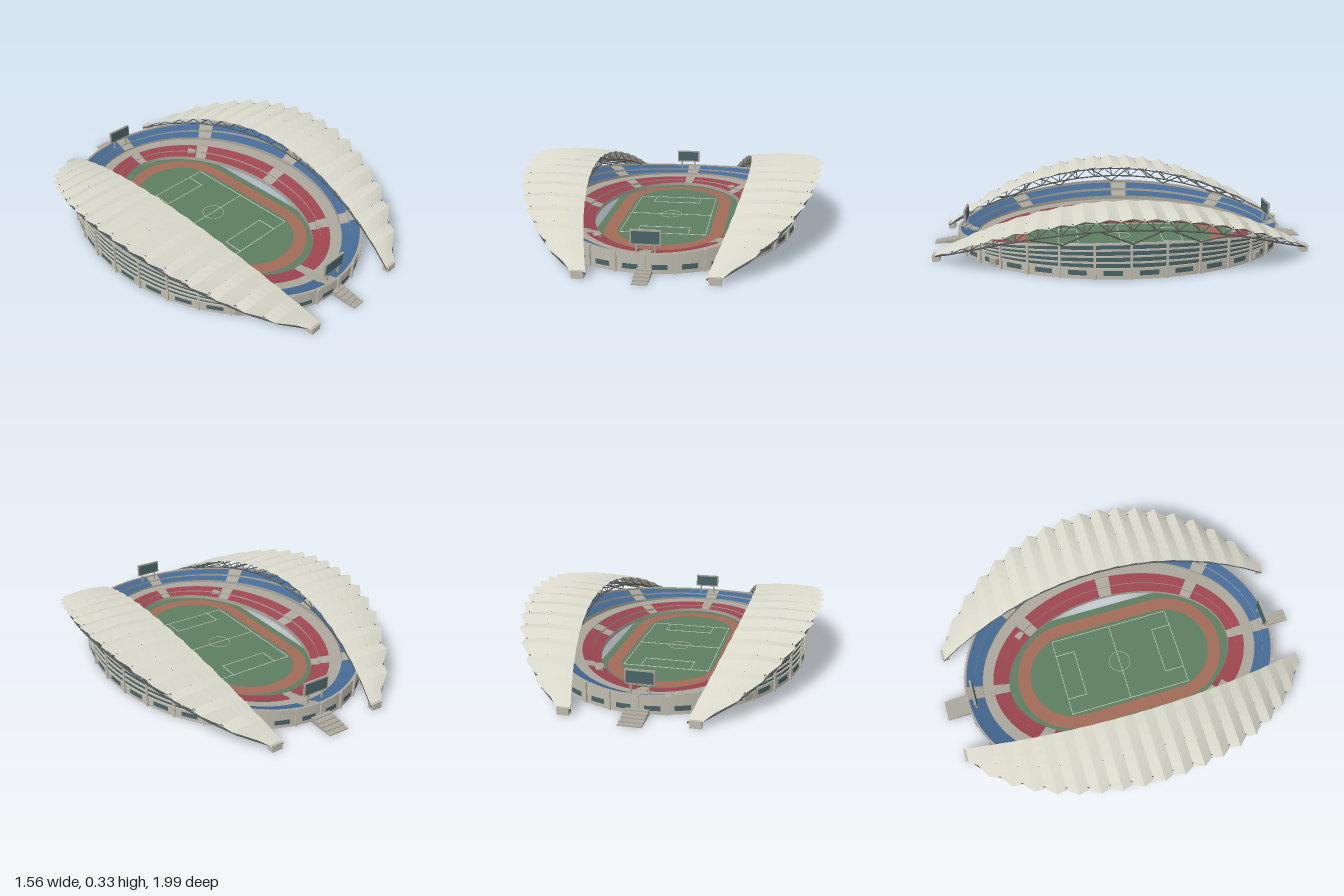
import * as THREE from 'three';
import { mergeGeometries } from 'three/addons/utils/BufferGeometryUtils.js';

const mat = (color, flatShading = false) =>
  new THREE.MeshStandardMaterial({ color, flatShading, side: THREE.DoubleSide });
const M = {
  concrete: mat(0xaaa69b), wall: mat(0xbfbcae), glass: mat(0x4a6468), red: mat(0x9c4550),
  blue: mat(0x456a94), grass: mat(0x5d7d60), track: mat(0xa26b58), line: mat(0xc4cfc0),
  roof: mat(0xd8d7ca, true), steel: mat(0x5c5e5c),
};
const V = (x, y, z) => new THREE.Vector3(x, y, z);
const rad = THREE.MathUtils.degToRad;

function add(parent, name, geos, material) {
  const geo = Array.isArray(geos) ? mergeGeometries(geos) : geos;
  const mesh = new THREE.Mesh(geo, material);
  mesh.name = name;
  parent.add(mesh);
  return mesh;
}

// Grid surface from a function f(u, v) -> Vector3
function sheet(f, nu, nv) {
  const pos = [], uv = [], idx = [];
  for (let i = 0; i <= nu; i++) for (let j = 0; j <= nv; j++) {
    pos.push(...f(i / nu, j / nv).toArray());
    uv.push(i / nu, j / nv);
    if (i < nu && j < nv) {
      const a = i * (nv + 1) + j, b = a + nv + 1;
      idx.push(a, a + 1, b, b, a + 1, b + 1);
    }
  }
  const g = new THREE.BufferGeometry();
  g.setAttribute('position', new THREE.Float32BufferAttribute(pos, 3));
  g.setAttribute('uv', new THREE.Float32BufferAttribute(uv, 2));
  g.setIndex(idx);
  g.computeVertexNormals();
  return g;
}
function box(x0, x1, y0, y1, z0, z1) {
  return new THREE.BoxGeometry(x1 - x0, y1 - y0, z1 - z0)
    .translate((x0 + x1) / 2, (y0 + y1) / 2, (z0 + z1) / 2);
}
function rod(a, b, r = 0.003) {
  const d = b.clone().sub(a);
  const q = new THREE.Quaternion().setFromUnitVectors(V(0, 1, 0), d.clone().normalize());
  return new THREE.CylinderGeometry(r, r, d.length(), 5).applyQuaternion(q)
    .translate(...a.clone().add(b).multiplyScalar(0.5).toArray());
}

// Bowl: t runs from the field edge (0) to the outer wall (1), a is the angle in degrees
const ring = (t, a, y) => V((0.4 + 0.28 * t) * Math.cos(rad(a)), y, (0.63 + 0.235 * t) * Math.sin(rad(a)));
const rim = a => 0.09 + 0.085 * Math.cos(rad(a)) ** 2;
const level = (k, a) => 0.02 + (rim(a) - 0.02) * k;
const band = (a0, a1, t0, y0, t1, y1) => sheet((u, v) => {
  const a = a0 + (a1 - a0) * u;
  return ring(t0 + (t1 - t0) * v, a, y0(a) + (y1(a) - y0(a)) * v);
}, Math.max(2, Math.ceil((a1 - a0) / 3)), 1);
const lv = k => a => level(k, a);
const flat = y => () => y;

function addStands(g) {
  // [t0, height0, t1, height1] of each seat row
  const rows = {
    red: [[0, 0.08, 0.17, 0.16], [0.17, 0.22, 0.36, 0.32]],
    blue: [[0.6, 0.5, 0.77, 0.64], [0.77, 0.74, 0.95, 0.9]],
  };
  const grey = [];
  for (const color in rows) {
    const seats = [];
    for (const [t0, k0, t1, k1] of rows[color]) for (let a = 0; a < 360; a += 45) {
      grey.push(band(a, a + 6.5, t0, lv(k0), t1, lv(k1)));
      seats.push(band(a + 6.5, a + 45, t0, lv(k0), t1, lv(k1)));
    }
    add(g, color + 'Seats', seats, M[color]);
  }
  // Risers, walkway and rim
  for (const [t0, k0, t1, k1] of [[0.17, 0.16, 0.17, 0.22], [0.36, 0.32, 0.36, 0.34], [0.36, 0.34, 0.6, 0.36],
    [0.6, 0.36, 0.6, 0.5], [0.77, 0.64, 0.77, 0.74], [0.95, 0.9, 0.95, 1], [0.95, 1, 1, 1]])
    grey.push(band(0, 360, t0, lv(k0), t1, lv(k1)));
  grey.push(band(0, 360, 0, flat(0.008), 0, lv(0.08)));
  add(g, 'terraces', grey, M.concrete);
}

function addFacade(g) {
  const wall = [band(0, 360, 0.985, flat(0), 0.985, flat(0.055))], glass = [], ribs = [];
  const floor = k => a => 0.055 + (rim(a) - 0.055) * k;
  for (const mid of [0, 180]) {
    const a0 = mid - 54, a1 = mid + 54;
    wall.push(band(a1, a1 + 72, 0.985, flat(0.05), 0.985, rim));
    glass.push(band(a0, a1, 0.975, flat(0.05), 0.975, rim));
    // Floor slabs across the glazing
    for (let k = 0; k <= 4; k++) {
      const top = floor(k / 4), low = a => top(a) - 0.008;
      wall.push(band(a0, a1, 0.96, low, 1, low), band(a0, a1, 1, low, 1, top), band(a0, a1, 0.96, top, 1, top));
    }
  }
  for (let i = 0; i < 32; i++) {
    const a = i * 11.25;
    glass.push(band(a + 2.6, a + 8.6, 0.992, flat(0.018), 0.992, flat(0.042)));
    const p = ring(1, a, 0);
    ribs.push(new THREE.BoxGeometry(0.01, rim(a), 0.01).rotateY(-rad(a)).translate(p.x, rim(a) / 2, p.z));
  }
  add(g, 'outerWall', wall, M.wall);
  add(g, 'glazing', glass, M.glass);
  add(g, 'wallRibs', ribs, M.wall);
  // Corner entrance tunnels
  const tunnels = [48, 132, 228, 312].map(a => {
    const p = ring(0.12, a, 0.033), q = ring(1.06, a, 0.033), d = q.clone().sub(p);
    return new THREE.BoxGeometry(0.045, 0.03, d.length()).rotateY(Math.atan2(d.x, d.z))
      .translate((p.x + q.x) / 2, 0.033, (p.z + q.z) / 2);
  });
  add(g, 'entranceTunnels', tunnels, M.concrete);
}

function addField(g) {
  // Elliptical lawn cut straight along both sides
  const lawn = new THREE.Shape(Array.from({ length: 96 }, (_, i) => {
    const p = ring(0, i * 3.75, 0);
    return new THREE.Vector2(THREE.MathUtils.clamp(p.x, -0.35, 0.35), p.z);
  }));
  const oval = (S, w, l) => {
    const s = new S();
    s.absarc(0, l - w, w, 0, Math.PI);
    s.absarc(0, w - l, w, Math.PI, Math.PI * 2);
    s.closePath();
    return s;
  };
  const track = oval(THREE.Shape, 0.31, 0.58);
  track.holes.push(oval(THREE.Path, 0.24, 0.51));
  const lay = (s, y) => new THREE.ShapeGeometry(s, 24).rotateX(-Math.PI / 2).translate(0, y, 0);
  add(g, 'lawn', lay(lawn, 0.008), M.grass);
  add(g, 'runningTrack', lay(track, 0.0105), M.track);
  // Pitch markings
  const w = 0.0015, y0 = 0.009, y1 = 0.0115;
  const hline = (x0, x1, z) => box(x0, x1, y0, y1, z - w, z + w);
  const vline = (x, z0, z1) => box(x - w, x + w, y0, y1, z0, z1);
  const lines = [hline(-0.22, 0.22, 0), vline(-0.22, -0.335, 0.335), vline(0.22, -0.335, 0.335),
    new THREE.TorusGeometry(0.058, w, 4, 40).rotateX(Math.PI / 2).translate(0, 0.01, 0)];
  for (const s of [-1, 1]) {
    lines.push(hline(-0.22, 0.22, s * 0.335), hline(-0.13, 0.13, s * 0.23));
    for (const x of [-0.13, 0.13]) lines.push(vline(x, Math.min(s * 0.335, s * 0.23), Math.max(s * 0.335, s * 0.23)));
  }
  add(g, 'pitchLines', lines.map(l => l.toNonIndexed()), M.line);
}

function addEnds(g) {
  for (const [name, s, z, w] of [['front', 1, 0.825, 0.035], ['back', -1, -0.815, 0.055]]) {
    const board = new THREE.Group();
    board.name = name + 'Scoreboard';
    board.position.z = z;
    g.add(board);
    add(board, 'scoreboardFrame', [box(-0.07, 0.07, 0.12, 0.19, -0.005, 0.005),
      box(-0.046, -0.038, 0.07, 0.12, -0.004, 0.004), box(0.038, 0.046, 0.07, 0.12, -0.004, 0.004)], M.concrete);
    add(board, 'scoreboardScreen', box(-0.063, 0.063, 0.127, 0.183, -0.007, 0.007), M.glass);
    // Entrance steps down to the ground
    const steps = [];
    for (let i = 0; i < 5; i++) {
      const a = s * (0.855 + i * 0.028), b = s * (0.883 + i * 0.028);
      steps.push(box(-w, w, 0, 0.025 - i * 0.005, Math.min(a, b), Math.max(a, b)));
    }
    add(g, name + 'Steps', steps, M.concrete);
  }
}

// Roof point: s from -1 to 1 along the crescent, u from inner (0) to outer edge (1)
function roofPoint(s, u, fold = 0) {
  const z = 0.95 * s;
  const inner = 0.41 - 0.15 * s * s;
  const outer = 0.768 * Math.sqrt(1 - (z / 1.04) ** 2) + fold * 0.014;
  const y = 0.03 + 0.285 * (1 - s * s) + (0.01 * Math.sin(Math.PI * u) + fold * 0.01 * (0.3 + 0.7 * u)) * (1 - s ** 8);
  return V(inner + (outer - inner) * u, y, z + 0.01);
}

function makeRoof(name) {
  const g = new THREE.Group();
  g.name = name;
  // Folded canopy
  const N = 36;
  add(g, 'canopy', sheet((u, v) => roofPoint(u * 2 - 1, v, Math.round(u * N) % 2 ? -1 : 1), N, 6), M.roof);
  // Trusses below the inner and outer edges
  const bars = [];
  const chord = (s, u) => roofPoint(s, u).sub(V(0, 0.008 + 0.05 * (1 - s * s), 0));
  for (const u of [0.06, 0.55, 0.92]) {
    for (let i = 0; i < 18; i++) {
      const s0 = -1 + i / 9, s1 = s0 + 1 / 9, m = (s0 + s1) / 2;
      bars.push(rod(chord(s0, u), chord(s1, u), 0.004));
      const top = roofPoint(m, u).sub(V(0, 0.008, 0));
      bars.push(rod(chord(s0, u), top, 0.0025), rod(top, chord(s1, u), 0.0025));
    }
  }
  for (let i = 1; i < 18; i++) {
    const s = -1 + i / 9;
    bars.push(rod(chord(s, 0.06), chord(s, 0.92), 0.003));
  }
  // V struts standing on the rim of the bowl
  for (const a of [-44, -22, 0, 22, 44]) {
    const foot = ring(0.97, a, rim(a));
    for (const d of [-0.15, 0.15]) bars.push(rod(foot, chord(foot.z / 0.95 + d, 0.92), 0.004));
  }
  add(g, 'roofTrusses', bars, M.steel);
  // Ground anchors at both tips
  add(g, 'roofAnchors', [box(0.27, 0.325, 0, 0.035, 0.93, 0.965), box(0.27, 0.325, 0, 0.035, -0.945, -0.91)], M.wall);
  return g;
}

export function createModel() {
  const model = new THREE.Group();
  model.name = 'stadium';
  const bowl = new THREE.Group();
  bowl.name = 'bowl';
  bowl.position.set(-0.02, 0, 0.005);
  addStands(bowl);
  addFacade(bowl);
  addField(bowl);
  addEnds(bowl);
  const left = makeRoof('leftRoof'), right = makeRoof('rightRoof');
  right.scale.x = -1;
  model.add(bowl, left, right);
  return model;
}
